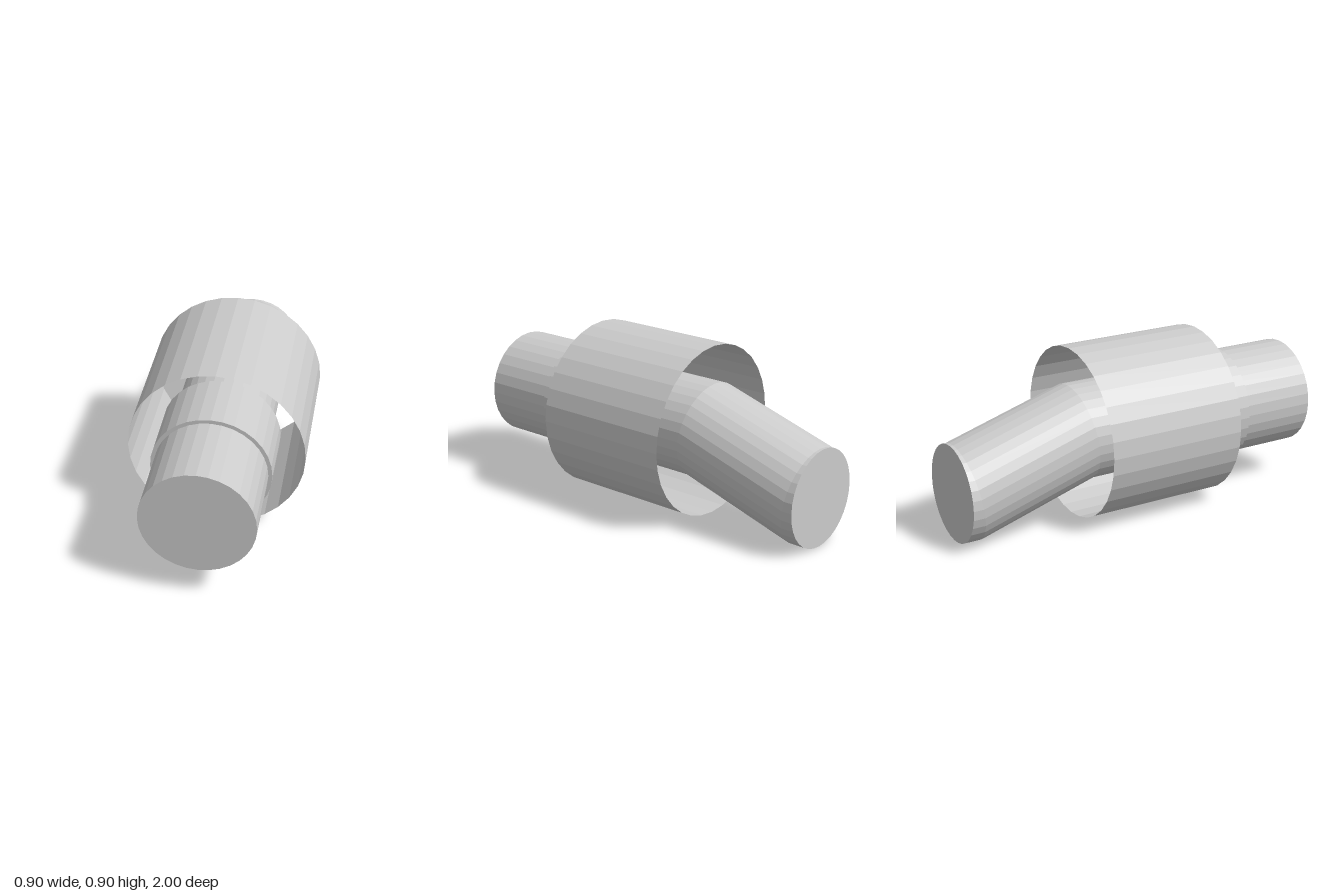
import * as THREE from 'three';

const SIDES = 32;
const AXIS_Y = 0.454;

export function createModel() {
  const model = new THREE.Group();
  const solid = new THREE.MeshStandardMaterial({ color: 0xcccccc, flatShading: true });
  const thin = solid.clone();
  thin.side = THREE.DoubleSide;

  // Straight round part on the main axis, from z0 (front) to z1 (back)
  const addRound = (name, radius, z0, z1, open) => {
    const geo = new THREE.CylinderGeometry(radius, radius, z0 - z1, SIDES, 1, open);
    geo.rotateX(Math.PI / 2);
    const mesh = new THREE.Mesh(geo, open ? thin : solid);
    mesh.name = name;
    mesh.position.set(0, AXIS_Y, (z0 + z1) / 2);
    model.add(mesh);
  };

  addRound('outerSleeve', 0.452, 0.43, -0.33, true);
  addRound('collar', 0.305, 0.59, 0.25, false);
  addRound('frontPipe', 0.285, 1, 0.25, false);

  // Rear pipe: straight, sloping down, straight again, with mitred bends
  const miter = Math.tan(THREE.MathUtils.degToRad(8.5));
  const stations = [
    { y: AXIS_Y, z: 0.27, tilt: 0 },
    { y: AXIS_Y, z: -0.3, tilt: miter },
    { y: 0.257, z: -0.945, tilt: miter },
    { y: 0.257, z: -1, tilt: 0 },
  ];
  const last = stations.length - 1;
  const geo = new THREE.CylinderGeometry(0.255, 0.255, last, SIDES, last);
  geo.rotateX(Math.PI / 2);
  const pos = geo.attributes.position;
  for (let i = 0; i < pos.count; i++) {
    const s = stations[Math.round(last / 2 - pos.getZ(i))];
    const dy = pos.getY(i);
    pos.setY(i, s.y + dy);
    pos.setZ(i, s.z - s.tilt * dy);
  }
  geo.computeVertexNormals();
  const rear = new THREE.Mesh(geo, solid);
  rear.name = 'bentRearPipe';
  model.add(rear);

  return model;
}
